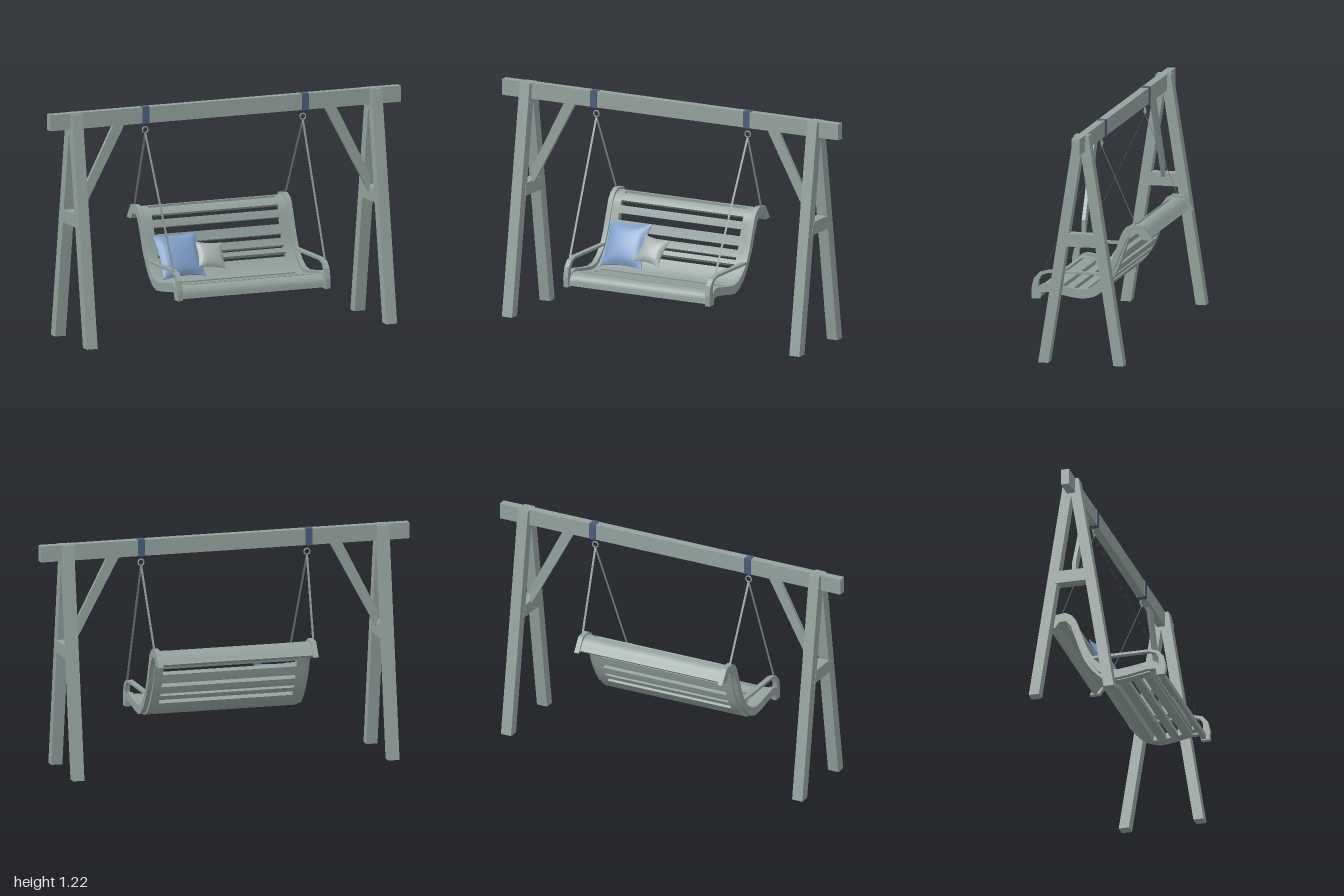
import * as THREE from 'three';
import { toCreasedNormals } from 'three/addons/utils/BufferGeometryUtils.js';

const mat = (name, color, side = THREE.FrontSide) => {
  const m = new THREE.MeshStandardMaterial({ color, side });
  m.name = name;
  return m;
};

export function createModel() {
  const model = new THREE.Group();
  model.name = 'gardenSwing';
  const wood = mat('greyWood', 0x93a19d);
  const rope = mat('rope', 0x87948f, THREE.DoubleSide);
  const strapBlue = mat('strapBlue', 0x4a5d7a);
  const cushionBlue = mat('cushionBlue', 0x7d9cc6);
  const cushionGrey = mat('cushionGrey', 0xa0aaa6);
  const midZ = -0.055;

  const add = (name, geo, material, x = 0, y = 0, z = 0) => {
    const mesh = new THREE.Mesh(geo, material);
    mesh.name = name;
    mesh.position.set(x, y, z);
    model.add(mesh);
    return mesh;
  };
  const extrude = (pts, depth) => new THREE.ExtrudeGeometry(
    new THREE.Shape(pts.map(([a, b]) => new THREE.Vector2(a, b))), { depth, bevelEnabled: false });
  // Side profile in (z, y), extruded from x0 to x1
  const profile = (pts, x0, x1) =>
    toCreasedNormals(extrude(pts, x1 - x0).rotateY(-Math.PI / 2).translate(x1, 0, 0), 0.5);

  // Top beam
  add('beam', new THREE.BoxGeometry(2, 0.085, 0.043), wood, 0, 1.1725, midZ);

  // Bench side rail and armrest outlines
  const railPts = [
    [0.326, 0.247], [0.281, 0.247], [0.274, 0.282], [0.23, 0.286], [0.117, 0.264], [0.053, 0.257],
    [0.005, 0.273], [-0.045, 0.315], [-0.08, 0.363], [-0.114, 0.42], [-0.137, 0.47], [-0.156, 0.523],
    [-0.185, 0.587], [-0.21, 0.616], [-0.246, 0.616], [-0.271, 0.584], [-0.323, 0.584], [-0.274, 0.658],
    [-0.213, 0.6645], [-0.178, 0.645], [-0.156, 0.613], [-0.13, 0.54], [-0.098, 0.453], [-0.066, 0.388],
    [-0.024, 0.344], [0.02, 0.313], [0.07, 0.305], [0.15, 0.315], [0.245, 0.331], [0.278, 0.322],
    [0.293, 0.308], [0.328, 0.3]];
  const armPts = [
    [0.328, 0.298], [0.316, 0.353], [0.287, 0.385], [0.24, 0.398], [-0.075, 0.398], [-0.068, 0.385],
    [0.24, 0.385], [0.274, 0.372], [0.29, 0.343], [0.292, 0.298]];

  for (const s of [-1, 1]) {
    const x0 = s > 0 ? 0.825 : -0.885, x1 = x0 + 0.06;
    // A-frame
    add('frontLeg', profile([[0.175, 0], [0.12, 0], [-0.07, 1.212], [-0.015, 1.212]], x0, x1), wood);
    add('rearLeg', profile([[-0.284, 0], [-0.229, 0], [-0.04, 1.212], [-0.095, 1.212]], x0, x1), wood);
    add('crossTie', profile([[0.026, 0.69], [0.037, 0.622], [-0.147, 0.622], [-0.136, 0.69]],
      x0 - 0.002, x1 + 0.002), wood);
    add('brace', extrude([[0.57, 1.135], [0.635, 1.135], [0.83, 0.755], [0.83, 0.655]]
      .map(([x, y]) => [s * x, y]), 0.02), wood, 0, 0, midZ - 0.01);

    // Hangers
    add('strap', new THREE.BoxGeometry(0.038, 0.089, 0.047), strapBlue, s * 0.455, 1.1725, midZ);
    add('ring', new THREE.TorusGeometry(0.016, 0.004, 8, 20), rope, s * 0.45, 1.091, midZ);
    for (const [y, z] of [[0.39, 0.265], [0.655, -0.235]]) {
      const a = new THREE.Vector3(s * 0.45, 1.075, midZ), b = new THREE.Vector3(s * 0.431, y, z);
      const w = new THREE.Vector3(0.006, 0, 0);
      const corners = [a.clone().sub(w), a.clone().add(w), b.clone().sub(w), b.clone().add(w)];
      const geo = new THREE.BufferGeometry().setFromPoints(corners);
      geo.setIndex([0, 2, 1, 1, 2, 3]);
      geo.computeVertexNormals();
      add('hangingRope', geo, rope);
    }

    // Bench sides
    const r0 = s > 0 ? 0.408 : -0.435;
    add('sideRail', profile(railPts, r0, r0 + 0.027), wood);
    add('armrest', profile(armPts, r0, r0 + 0.027), wood);
  }

  // Curved seat panel, following the rails from front edge to rolled back
  const path = new THREE.CatmullRomCurve3([
    [0.3, 0.252], [0.296, 0.285], [0.28, 0.303], [0.25, 0.308], [0.19, 0.298], [0.11, 0.285], [0.05, 0.281],
    [0, 0.294], [-0.05, 0.338], [-0.09, 0.395], [-0.118, 0.46], [-0.145, 0.54], [-0.172, 0.607],
    [-0.21, 0.64], [-0.258, 0.638], [-0.3, 0.588]].map(([z, y]) => new THREE.Vector3(0, y, z)));
  const N = 240;
  const centre = path.getSpacedPoints(N);
  const indexAt = (z) => {
    const i = centre.findIndex((p) => p.z <= z);
    return i < 0 ? N : i;
  };
  const section = (i0, i1) => {
    const top = [], bottom = [];
    for (let i = i0; i <= i1; i++) {
      const p = centre[i], t = path.getTangentAt(i / N);
      const under = p.z > 0.23 || p.z < -0.165 ? 0.014 : 0.026;
      top.push([p.z + t.y * 0.008, p.y - t.z * 0.008]);
      bottom.unshift([p.z - t.y * under, p.y + t.z * under]);
    }
    return top.concat(bottom);
  };
  // Slots as z ranges, front to back
  const slots = [[0.262, 0.245], [0.19, 0.168], [0.128, 0.106], [0.062, 0.04], [-0.062, -0.076],
    [-0.09, -0.097], [-0.112, -0.12], [-0.136, -0.147], [-0.16, -0.172], [-0.205, -0.225]];
  let start = 0;
  for (const [za, zb] of slots) {
    const a = indexAt(za), b = Math.max(indexAt(zb), a + 2);
    add('slat', profile(section(start, a), -0.41, 0.41), wood);
    const gap = section(a, b);
    add('slatEndRight', profile(gap, -0.41, -0.363), wood);
    add('slatEndLeft', profile(gap, 0.363, 0.41), wood);
    start = b;
  }
  add('topSlat', profile(section(start, N), -0.41, 0.41), wood);

  // Cushions: puffed squares with pinched corners
  const cushion = (name, size, puff, material, pos, tilt, roll) => {
    const geo = new THREE.BoxGeometry(2, 2, 2, 12, 12, 1);
    const p = geo.attributes.position;
    for (let i = 0; i < p.count; i++) {
      const u = p.getX(i), v = p.getY(i), fu = 1 - u * u, fv = 1 - v * v;
      p.setXYZ(i, u * (1 - 0.1 * fv) * size / 2, v * (1 - 0.1 * fu) * size / 2,
        p.getZ(i) * (0.003 + puff * Math.sqrt(fu * fv)));
    }
    geo.computeVertexNormals();
    add(name, geo, material, ...pos).rotation.set(tilt, 0, roll);
  };
  cushion('largeCushion', 0.245, 0.032, cushionBlue, [-0.265, 0.413, -0.037], -0.52, 0.03);
  cushion('smallCushion', 0.15, 0.022, cushionGrey, [-0.097, 0.409, -0.012], -0.66, -0.12);

  return model;
}
